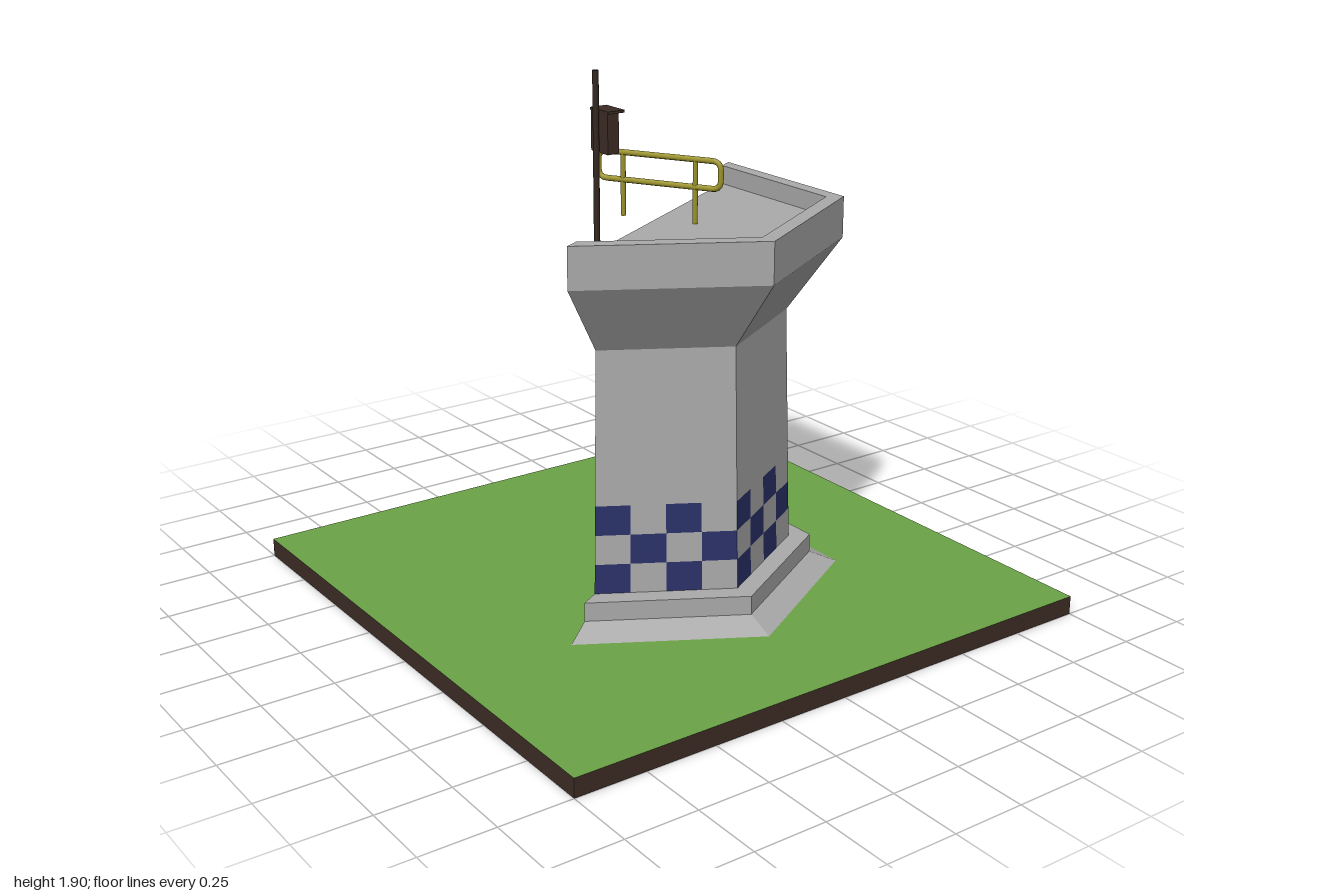
import * as THREE from 'three';

const mat = (name, color, side = THREE.FrontSide) => {
  const m = new THREE.MeshStandardMaterial({ color, side });
  m.name = name;
  return m;
};

export function createModel() {
  const concrete = mat('concrete', 0xaaaaaa, THREE.DoubleSide);
  const navy = mat('navy', 0x2a3169, THREE.DoubleSide);
  const grass = mat('grass', 0x6ca346);
  const earth = mat('earth', 0x3d2c26);
  const darkMetal = mat('dark metal', 0x33261f);
  const yellow = mat('yellow', 0x9c942a);

  const model = new THREE.Group();
  model.name = 'halfTower';
  const add = (name, geometry, material, x = 0, y = 0, z = 0, parent = model) => {
    const mesh = new THREE.Mesh(geometry, material);
    mesh.name = name;
    mesh.position.set(x, y, z);
    parent.add(mesh);
    return mesh;
  };

  // Flat-shaded geometry from a list of four-cornered faces
  const quads = (list) => {
    const g = new THREE.BufferGeometry();
    const pos = list.flatMap(([a, b, c, d]) => [a, b, c, a, c, d].flat());
    g.setAttribute('position', new THREE.Float32BufferAttribute(pos, 3));
    g.computeVertexNormals();
    return g;
  };

  // Ground slab: earth with a grass top
  add('ground', new THREE.BoxGeometry(2, 0.065, 2),
    [earth, earth, grass, earth, earth, earth], 0, 0.0325, 0);

  // Corners of the half hexagon, open along the cut through its centre
  const corner = (k, r, y) => {
    const a = (k - 1) * Math.PI / 3;
    return [-0.015 + r * Math.sin(a), y, r * Math.cos(a)];
  };
  const mix = (a, b, t) => a.map((v, i) => v + (b[i] - v) * t);
  const band = ([r0, y0], [r1, y1]) => [0, 1, 2].map((k) => [
    corner(k, r0, y0), corner(k + 1, r0, y0), corner(k + 1, r1, y1), corner(k, r1, y1)]);
  const shell = (name, profile) => add(name,
    quads(profile.slice(1).flatMap((p, i) => band(profile[i], p))), concrete);

  const checkBottom = [0.47, 0.17], checkTop = [0.461, 0.475];
  shell('plinth', [[0.64, 0.065], [0.545, 0.105], [0.545, 0.17], checkBottom]);
  shell('wall', [checkTop, [0.445, 1]]);
  shell('flare', [[0.445, 1], [0.63, 1.245]]);
  shell('parapet', [[0.63, 1.245], [0.63, 1.385], [0.57, 1.385], [0.57, 1.32]]);

  // Chequered band: three rows of four squares on each wall
  const blue = [], plain = [];
  for (const [a, b, c, d] of band(checkBottom, checkTop)) {
    const at = (u, v) => mix(mix(a, b, u / 4), mix(d, c, u / 4), v / 3);
    for (let row = 0; row < 3; row++) {
      for (let col = 0; col < 4; col++) {
        ((row + col) % 2 ? plain : blue).push([
          at(col, row), at(col + 1, row), at(col + 1, row + 1), at(col, row + 1)]);
      }
    }
  }
  add('blueChecks', quads(blue), navy);
  add('plainChecks', quads(plain), concrete);

  // Deck and the two parapet ends on the cut
  add('deck', quads([[0, 1, 2, 3].map((k) => corner(k, 0.57, 1.32))]), concrete);
  add('parapetEnds', quads([0, 3].map((k) => {
    const end = [corner(k, 0.63, 1.245), corner(k, 0.57, 1.245),
      corner(k, 0.57, 1.385), corner(k, 0.63, 1.385)];
    return k ? end : end.reverse();
  })), concrete);

  // Handrail: rounded loop on two posts, across the cut
  const rail = new THREE.Group();
  rail.name = 'handrail';
  rail.position.z = 0.003;
  rail.rotation.y = -Math.PI / 3;
  model.add(rail);
  const loop = new THREE.CurvePath();
  const L = 0.22, lo = 1.442, hi = 1.534, R = 0.03;
  const v = (x, y) => new THREE.Vector3(x, y, 0);
  const corners = [[L, lo], [L, hi], [-L, hi], [-L, lo]].map(([x, y]) => v(x, y));
  corners.forEach((p, i) => {
    const next = corners[(i + 1) % 4], prev = corners[(i + 3) % 4];
    const toward = (from, to) => from.clone().add(to.clone().sub(from).setLength(R));
    loop.add(new THREE.QuadraticBezierCurve3(toward(p, prev), p, toward(p, next)));
    loop.add(new THREE.LineCurve3(toward(p, next), toward(next, p)));
  });
  add('railLoop', new THREE.TubeGeometry(loop, 96, 0.01, 8, true), yellow, 0, 0, 0, rail);
  for (const x of [-0.13, 0.13]) {
    add('railPost', new THREE.CylinderGeometry(0.009, 0.009, 0.214, 8), yellow, x, 1.427, 0, rail);
  }

  // Pole with a hooded box
  add('pole', new THREE.CylinderGeometry(0.01, 0.01, 0.58, 10), darkMetal, -0.433, 1.61, 0.287);
  add('box', new THREE.BoxGeometry(0.04, 0.125, 0.09), earth, -0.403, 1.712, 0.29);
  add('boxHood', new THREE.BoxGeometry(0.06, 0.008, 0.098), earth, -0.394, 1.777, 0.29);

  return model;
}
